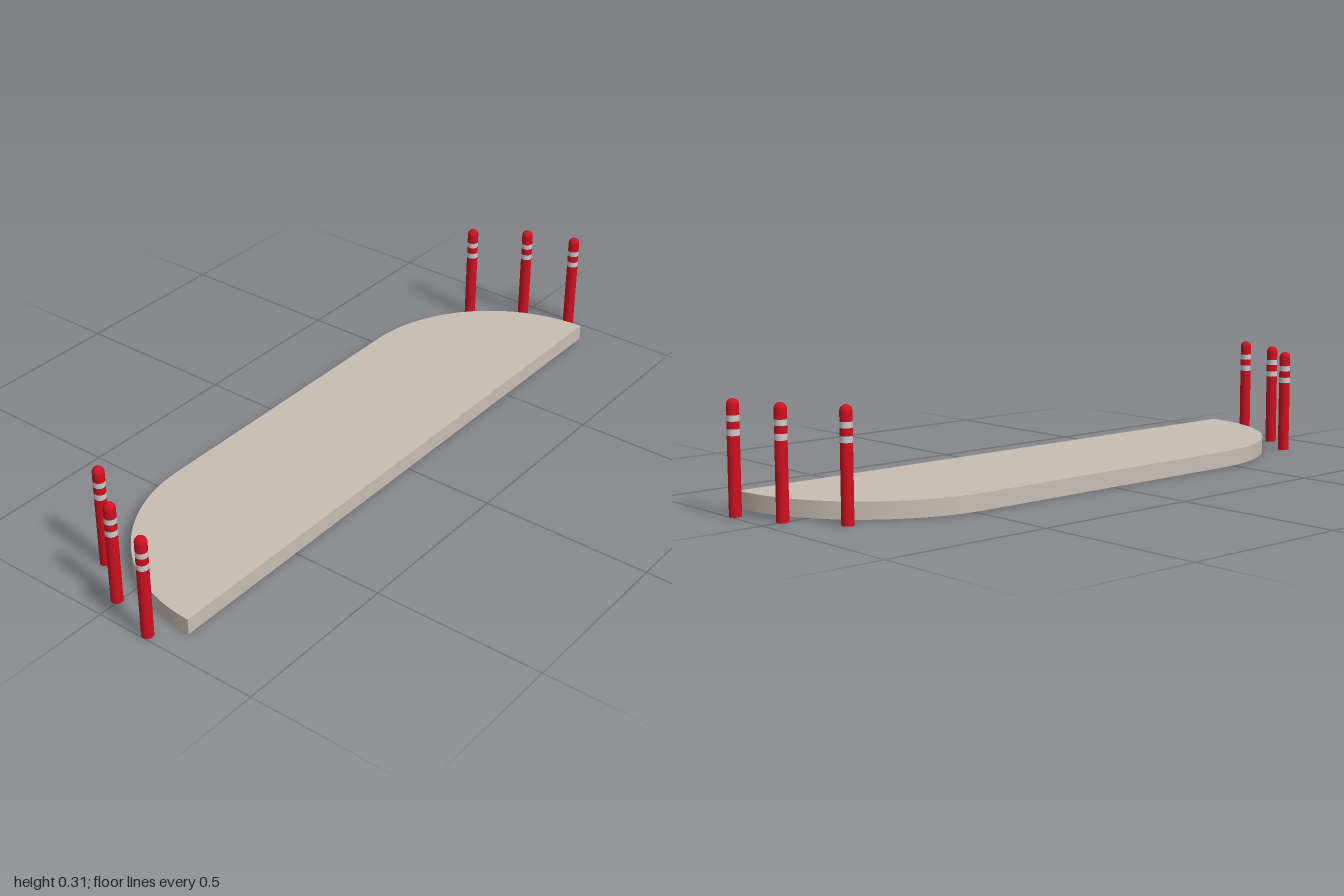
import * as THREE from 'three';
import { toCreasedNormals } from 'three/addons/utils/BufferGeometryUtils.js';

const stone = new THREE.MeshStandardMaterial({ color: 0xc9bdb2, side: THREE.DoubleSide });
const red = new THREE.MeshStandardMaterial({ color: 0xd01020 });
const grey = new THREE.MeshStandardMaterial({ color: 0xcccccc });

const HEIGHT = 0.047; // platform height
const POST_R = 0.0165;

// Platform: flat top and thin side walls, open underneath
function createPlatform() {
  const x = 0.228, r = 0.456, z = 0.92;
  const outline = new THREE.Shape();
  outline.moveTo(x, -z);
  outline.lineTo(x, z);
  outline.absarc(x, z - r, r, Math.PI / 2, Math.PI, false);
  outline.absarc(x, -z + r, r, Math.PI, Math.PI * 1.5, false);

  const top = new THREE.Mesh(new THREE.ShapeGeometry(outline, 24), stone);
  top.name = 'platformTop';
  top.position.z = HEIGHT;

  // Wall strip following the outline
  const pts = outline.getPoints(24);
  const pos = [];
  pts.forEach((a, i) => {
    const b = pts[(i + 1) % pts.length];
    if (a.distanceTo(b) < 1e-5) return;
    pos.push(a.x, a.y, 0, b.x, b.y, 0, b.x, b.y, HEIGHT);
    pos.push(a.x, a.y, 0, b.x, b.y, HEIGHT, a.x, a.y, HEIGHT);
  });
  const wallGeo = new THREE.BufferGeometry();
  wallGeo.setAttribute('position', new THREE.Float32BufferAttribute(pos, 3));
  const wall = new THREE.Mesh(toCreasedNormals(wallGeo, 0.5), stone);
  wall.name = 'platformWall';

  const platform = new THREE.Group();
  platform.name = 'platform';
  platform.add(top, wall);
  platform.rotation.x = -Math.PI / 2;
  return platform;
}

// Post: red shaft sections with two flush grey bands and a domed cap
function createPost(x, z) {
  const post = new THREE.Group();
  post.name = 'post';
  const levels = [0, 0.21, 0.227, 0.247, 0.263, 0.289];
  for (let i = 0; i < levels.length - 1; i++) {
    const h = levels[i + 1] - levels[i];
    const geo = new THREE.CylinderGeometry(POST_R, POST_R, h, 24, 1, i > 0);
    const part = new THREE.Mesh(geo, i % 2 ? grey : red);
    part.name = i % 2 ? 'reflectiveBand' : 'postShaft';
    part.position.y = levels[i] + h / 2;
    post.add(part);
  }
  const dome = new THREE.Mesh(
    new THREE.SphereGeometry(POST_R, 24, 8, 0, Math.PI * 2, 0, Math.PI / 2), red);
  dome.name = 'postCap';
  dome.position.y = 0.289;
  post.add(dome);
  post.position.set(x, 0, z);
  return post;
}

export function createModel() {
  const model = new THREE.Group();
  model.name = 'trafficIsland';
  model.add(createPlatform());

  // Three posts around each rounded end
  const posts = [
    [-0.139, 0.837], [-0.007, 0.932], [0.149, 0.984],
    [-0.138, -0.838], [0.003, -0.936], [0.145, -0.984],
  ];
  for (const [x, z] of posts) model.add(createPost(x, z));
  return model;
}
